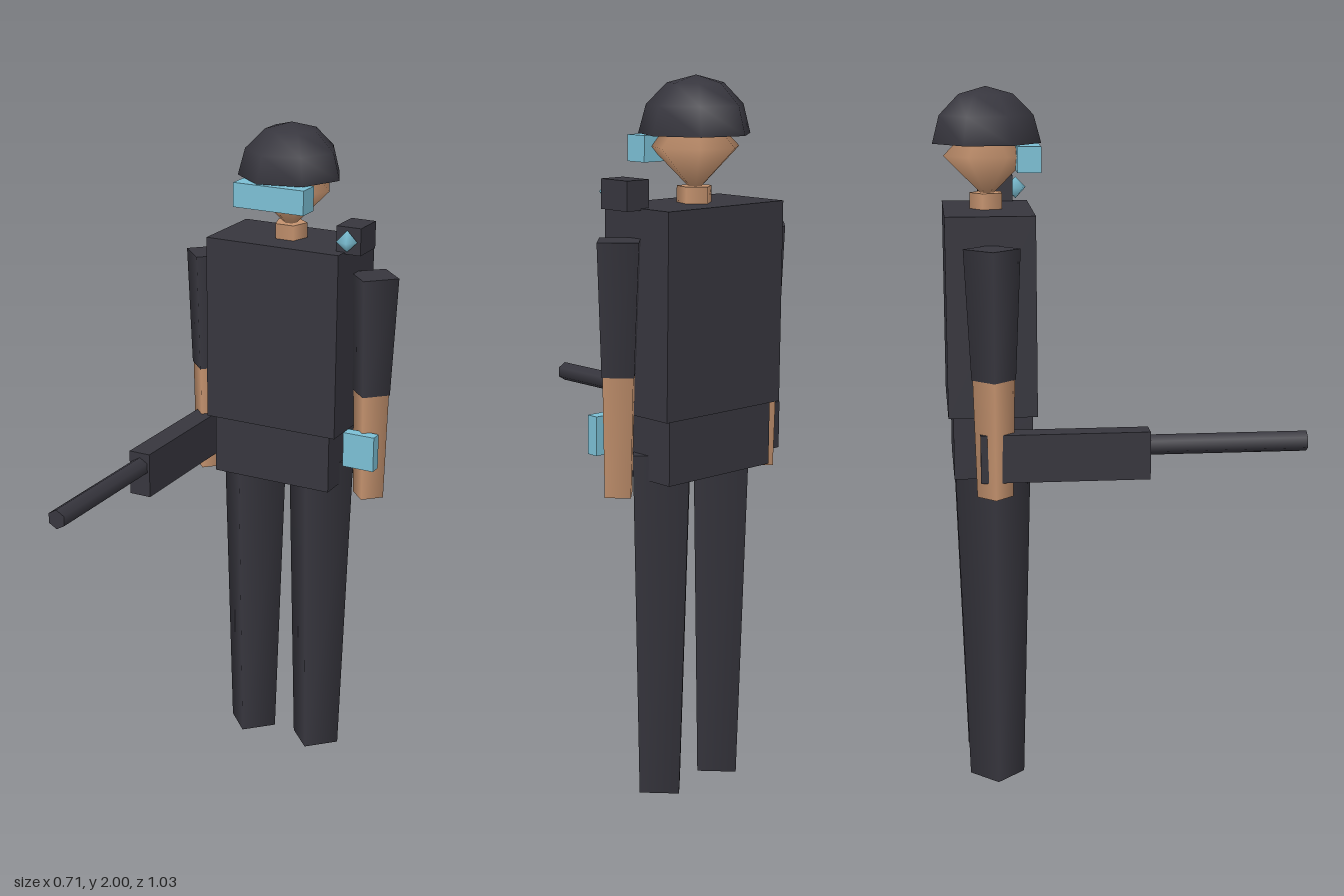
import * as THREE from 'three';

export function createModel() {
  const model = new THREE.Group();
  model.name = 'guard';
  const mat = (name, color) => {
    const m = new THREE.MeshStandardMaterial({ color });
    m.name = name;
    return m;
  };
  const dark = mat('charcoal', 0x37363e);
  const skin = mat('skin', 0xc4926e);
  const cyan = mat('cyan', 0x7cc0d5);
  dark.side = THREE.DoubleSide; // the helmet is an open shell

  const Z = -0.36; // depth of the body axis

  const add = (name, geometry, material, x, y, z) => {
    const mesh = new THREE.Mesh(geometry, material);
    mesh.name = name;
    mesh.position.set(x, y, z);
    model.add(mesh);
    return mesh;
  };
  // Box given by its limits on each axis
  const box = (name, material, x0, x1, y0, y1, z0, z1) =>
    add(name, new THREE.BoxGeometry(x1 - x0, y1 - y0, z1 - z0), material,
      (x0 + x1) / 2, (y0 + y1) / 2, (z0 + z1) / 2);
  // Upright tapered limb with few sides
  const limb = (name, material, x, y0, y1, rBottom, rTop, sides = 4) =>
    add(name, new THREE.CylinderGeometry(rTop, rBottom, y1 - y0, sides), material, x, (y0 + y1) / 2, Z);

  // Trunk
  box('torso', dark, -0.215, 0.215, 1.1, 1.66, Z - 0.125, Z + 0.124);
  box('hips', dark, -0.192, 0.192, 0.92, 1.1, Z - 0.111, Z + 0.111);

  // Legs and arms, mirrored
  for (const [side, s] of [['left', 1], ['right', -1]]) {
    limb(side + 'Leg', dark, s * 0.114, 0, 0.99, 0.079, 0.109);
    limb(side + 'UpperArm', dark, s * 0.275, 1.22, 1.58, 0.061, 0.078);
    limb(side + 'Forearm', skin, s * 0.275, 0.89, 1.22, 0.05, 0.058);
  }

  // Head
  limb('neck', skin, 0, 1.655, 1.705, 0.05, 0.05, 5).rotation.y = Math.PI;
  add('head', new THREE.SphereGeometry(0.125, 7, 2), skin, 0, 1.81, Z).rotation.y = Math.PI;
  add('helmet', new THREE.SphereGeometry(0.156, 7, 3, 0, Math.PI * 2, 0, Math.PI / 2),
    dark, 0, 1.844, Z).rotation.y = Math.PI;
  box('visor', cyan, -0.113, 0.113, 1.768, 1.84, -0.28, -0.213);

  // Shoulder lamp
  box('shoulderBox', dark, 0.188, 0.265, 1.655, 1.735, -0.38, -0.278);
  add('shoulderLens', new THREE.SphereGeometry(0.032, 5, 2), cyan, 0.227, 1.696, -0.268).rotation.y = Math.PI;

  // Wrist screen
  box('wristScreen', cyan, 0.221, 0.321, 0.998, 1.106, -0.322, -0.287);

  // Gun held at the right forearm
  box('gunBody', dark, -0.308, -0.24, 0.936, 1.071, -0.4, 0.07);
  add('gunBarrel', new THREE.CylinderGeometry(0.029, 0.029, 0.445, 6), dark, -0.273, 1.027, 0.292)
    .rotation.x = Math.PI / 2;

  return model;
}
